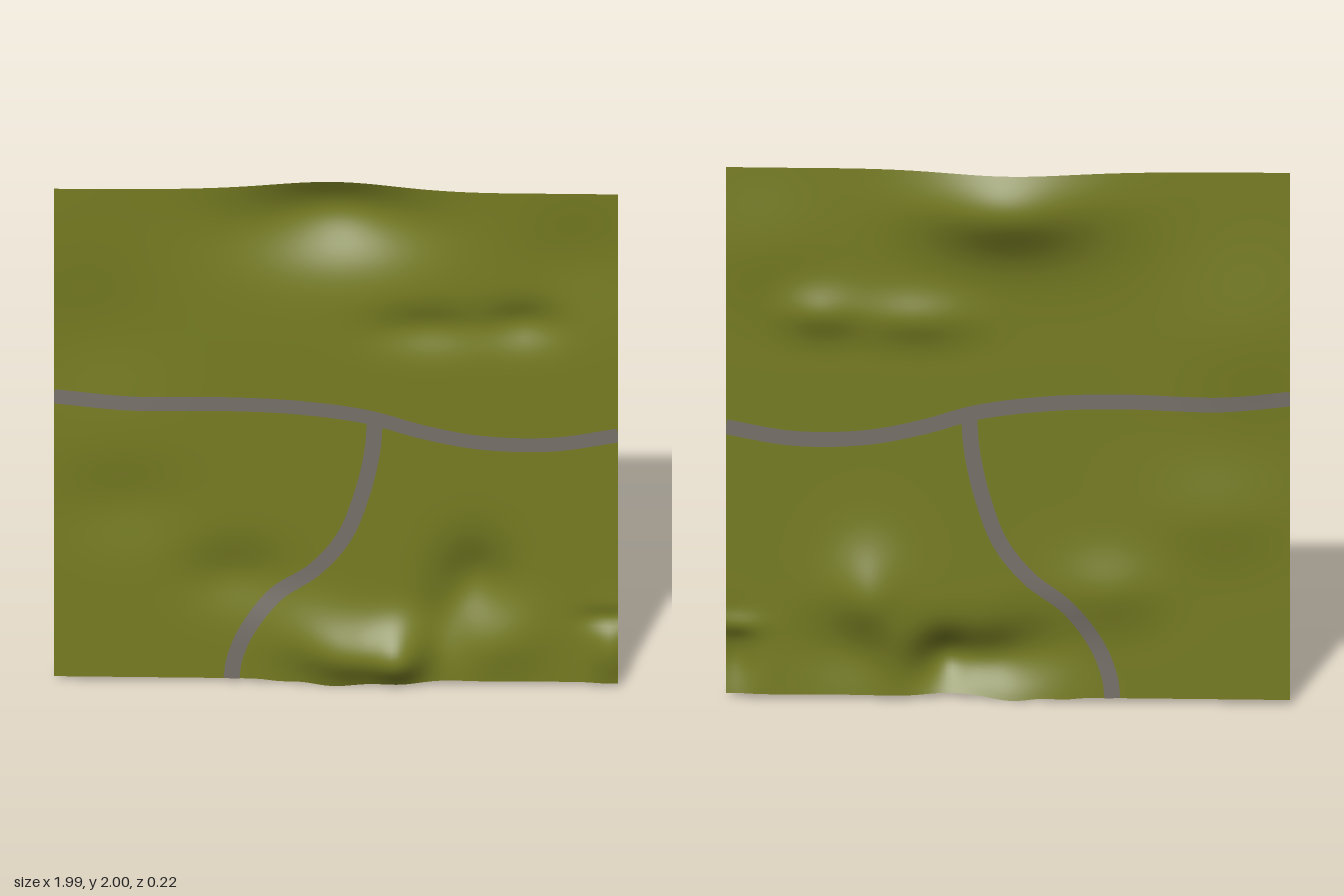
import * as THREE from 'three';

const grass = new THREE.MeshStandardMaterial({ color: 0x767c22, side: THREE.DoubleSide });
grass.name = 'olive grass';
const asphalt = new THREE.MeshStandardMaterial({ color: 0x777069, side: THREE.DoubleSide });
asphalt.name = 'grey road';

// Hills and hollows: x, y, amplitude, spread x, spread y
const bumps = [
  [0.0, 1.87, -0.1, 0.2, 0.11],
  [-0.15, 1.9, -0.025, 0.3, 0.2],
  [0.32, 1.44, -0.03, 0.13, 0.06],
  [0.65, 1.46, -0.035, 0.09, 0.06],
  [0.85, 1.72, -0.02, 0.15, 0.15],
  [0.48, 0.4, -0.065, 0.09, 0.12],
  [0.37, 0.23, -0.025, 0.07, 0.1],
  [-0.36, 0.43, -0.03, 0.12, 0.09],
  [-0.75, 0.72, -0.02, 0.15, 0.12],
  [-0.85, 1.4, -0.022, 0.18, 0.2],
  [0.22, 0.14, 0.085, 0.07, 0.08],
  [0.05, 0.14, 0.065, 0.1, 0.08],
  [-0.1, 0.2, 0.03, 0.1, 0.09],
  [0.55, 0.2, 0.025, 0.12, 0.1],
  [0.96, 0.16, 0.035, 0.05, 0.09],
  [0.95, 0.28, -0.02, 0.06, 0.03],
];

function relief(x, y) {
  let z = 0.015;
  for (const [cx, cy, a, sx, sy] of bumps) {
    z += a * Math.exp(-0.5 * (((x - cx) / sx) ** 2 + ((y - cy) / sy) ** 2));
  }
  return z;
}

// Grid of quads from a point function of (u, v)
function sheet(cols, rows, point) {
  const pos = [], index = [];
  for (let j = 0; j <= rows; j++) {
    for (let i = 0; i <= cols; i++) pos.push(...point(i / cols, j / rows));
  }
  for (let j = 0; j < rows; j++) {
    for (let i = 0; i < cols; i++) {
      const a = j * (cols + 1) + i, b = a + 1, c = a + cols + 1, d = c + 1;
      index.push(a, b, d, a, d, c);
    }
  }
  const geo = new THREE.BufferGeometry();
  geo.setAttribute('position', new THREE.Float32BufferAttribute(pos, 3));
  geo.setIndex(index);
  geo.computeVertexNormals();
  return geo;
}

// Road ribbon draped over the relief, raised slightly off one side
function road(points, width, offset) {
  const curve = new THREE.CatmullRomCurve3(points.map(([x, y]) => new THREE.Vector3(x, y, 0)));
  return sheet(120, 4, (u, v) => {
    const p = curve.getPointAt(u), t = curve.getTangentAt(u);
    const w = (v - 0.5) * width;
    const x = THREE.MathUtils.clamp(p.x - t.y * w, -1, 0.985);
    const y = THREE.MathUtils.clamp(p.y + t.x * w, 0.022, 2);
    return [x, y, relief(x, y) + offset];
  });
}

export function createModel() {
  const group = new THREE.Group();
  group.name = 'terrain';
  const add = (name, geo, mat) => {
    const mesh = new THREE.Mesh(geo, mat);
    mesh.name = name;
    group.add(mesh);
  };

  // Ground, with a slightly sagging lower edge
  add('ground', sheet(120, 120, (u, v) => {
    const x = -1 + u * 1.985;
    const low = 0.022 - 0.02 * Math.exp(-(((x + 0.02) / 0.1) ** 2)) - 0.008 * Math.exp(-(((x + 0.2) / 0.06) ** 2));
    const y = low + v * (2 - low);
    return [x, y, relief(x, y)];
  }), grass);

  // Roads, shown on both faces of the sheet
  const main = [[-1, 1.155], [-0.75, 1.13], [-0.4, 1.135], [-0.15, 1.125], [0.1, 1.09],
    [0.3, 1.03], [0.5, 0.99], [0.75, 0.985], [0.985, 1.025]];
  const branch = [[0.13, 1.08], [0.12, 0.95], [0.085, 0.78], [0.02, 0.6], [-0.08, 0.47],
    [-0.22, 0.36], [-0.32, 0.22], [-0.365, 0.1], [-0.375, 0.022]];
  for (const [side, offset] of [['Front', 0.003], ['Back', -0.003]]) {
    add('mainRoad' + side, road(main, 0.056, offset), asphalt);
    add('branchRoad' + side, road(branch, 0.056, offset), asphalt);
  }
  return group;
}
